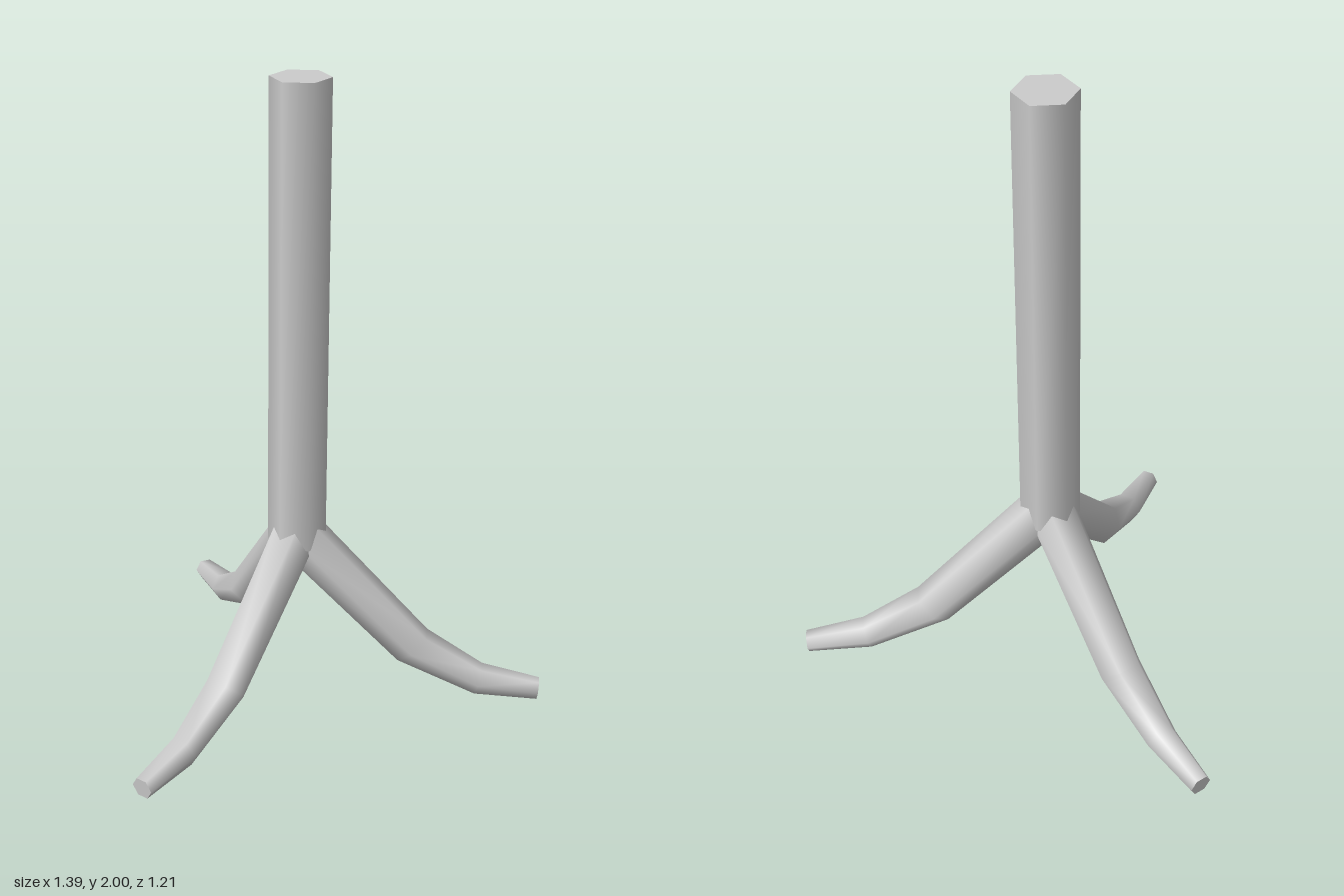
import * as THREE from 'three';

const SIDES = 6;
const TRUNK_Z = -0.18;

// Leg cross-sections: distance from the trunk axis, height, radius, forward tilt of the ring's up direction
const SECTIONS = [
  { d: 0, y: 0.56, r: 0.08, tilt: 0.81 },
  { d: 0.375, y: 0.17, r: 0.07, tilt: 0.84 },
  { d: 0.59, y: 0.058, r: 0.051, tilt: 0.24 },
  { d: 0.782, y: 0.034, r: 0.035, tilt: 0.09 },
];

// Six-sided tapering leg running along +z, closed at both ends
function legGeometry() {
  const positions = [];
  const index = [];
  const addRing = ({ d, y, r, tilt }) => {
    const start = positions.length / 3;
    for (let j = 0; j < SIDES; j++) {
      const a = (j / SIDES) * Math.PI * 2;
      const up = r * Math.sin(a);
      positions.push(r * Math.cos(a), y + up * Math.cos(tilt), d + up * Math.sin(tilt));
    }
    return start;
  };

  // Side walls
  const rings = SECTIONS.map(addRing);
  for (let i = 0; i < rings.length - 1; i++) {
    for (let j = 0; j < SIDES; j++) {
      const k = (j + 1) % SIDES;
      const a = rings[i] + j, b = rings[i] + k;
      const c = rings[i + 1] + j, e = rings[i + 1] + k;
      index.push(a, b, c, b, e, c);
    }
  }

  // End caps on their own vertices, so their rims stay sharp
  const root = addRing(SECTIONS[0]);
  const tip = addRing(SECTIONS[SECTIONS.length - 1]);
  for (let j = 1; j < SIDES - 1; j++) {
    index.push(root, root + j + 1, root + j);
    index.push(tip, tip + j, tip + j + 1);
  }

  const geometry = new THREE.BufferGeometry();
  geometry.setAttribute('position', new THREE.Float32BufferAttribute(positions, 3));
  geometry.setIndex(index);
  geometry.computeVertexNormals();
  return geometry;
}

export function createModel() {
  const model = new THREE.Group();
  model.name = 'threeLeggedPost';
  const material = new THREE.MeshStandardMaterial({ color: 0xcccccc });

  // Hexagonal post
  const bottom = 0.53;
  const post = new THREE.Mesh(new THREE.CylinderGeometry(0.091, 0.091, 2 - bottom, SIDES), material);
  post.name = 'post';
  post.position.set(0, (2 + bottom) / 2, TRUNK_Z);
  model.add(post);

  // Three legs spread evenly around the post
  const geometry = legGeometry();
  ['frontLeg', 'backLeftLeg', 'backRightLeg'].forEach((name, i) => {
    const leg = new THREE.Mesh(geometry, material);
    leg.name = name;
    leg.position.z = TRUNK_Z;
    leg.rotation.y = (i * Math.PI * 2) / 3;
    model.add(leg);
  });

  return model;
}
